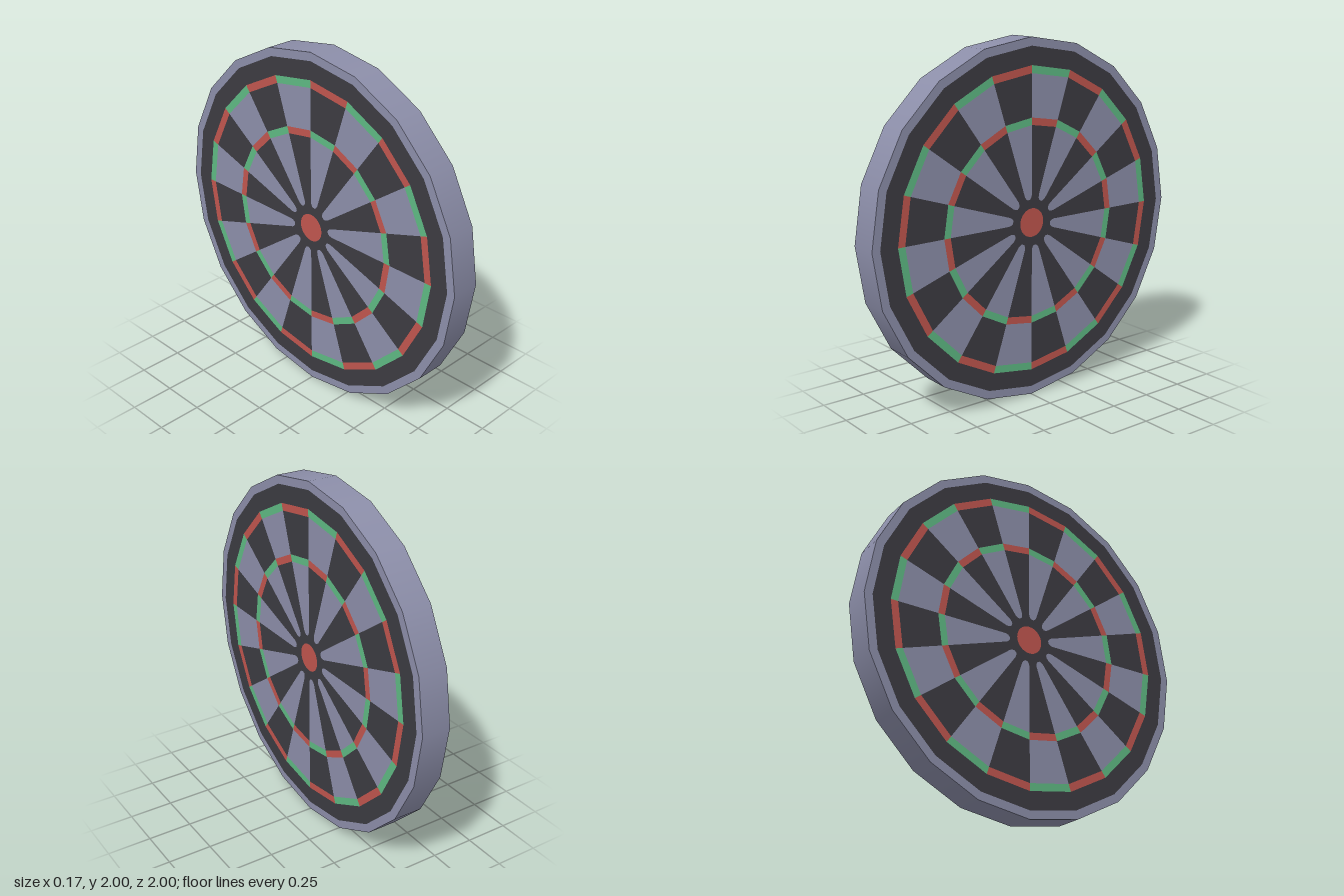
import * as THREE from 'three';

const SECTORS = 20;
const STEP = (Math.PI * 2) / SECTORS;
const HALF = 0.084; // half the thickness
const LIFT = 0.002; // painted details sit just above the board

const makeMaterial = (name, color) => {
  const m = new THREE.MeshStandardMaterial({ color });
  m.name = name;
  return m;
};

// point at radius r, angle clockwise from the top; dir mirrors the pattern
const polar = (r, a, dir) => new THREE.Vector2(dir * r * Math.sin(a), r * Math.cos(a));

// straight-edged piece of one sector between two radii
function sectorPiece(i, r0, r1, dir) {
  const a = i * STEP, b = a + STEP;
  return new THREE.Shape([polar(r0, a, dir), polar(r1, a, dir), polar(r1, b, dir), polar(r0, b, dir)]);
}

// long inner wedge with a rounded tip near the hub
function roundedWedge(i, r0, r1, dir) {
  const a = i * STEP, b = a + STEP, rs = r0 + 0.025;
  const rows = [[r1, 0], [rs, 0], [r0 + 0.01, 0.1], [r0, 0.3]];
  const left = rows.map(([r, t]) => polar(r, a + t * STEP, dir));
  const right = rows.map(([r, t]) => polar(r, b - t * STEP, dir)).reverse();
  return new THREE.Shape([...left, ...right]);
}

export function createModel() {
  const grey = makeMaterial('lavender grey', 0x8c8ea9);
  const dark = makeMaterial('charcoal', 0x3c3b41);
  const red = makeMaterial('red', 0xc0554e);
  const green = makeMaterial('green', 0x5eb983);

  const model = new THREE.Group();
  model.name = 'dartboard';

  const add = (parent, name, geometry, material) => {
    const mesh = new THREE.Mesh(geometry, material);
    mesh.name = name;
    parent.add(mesh);
    return mesh;
  };

  // outer band
  const band = new THREE.CylinderGeometry(1, 1, HALF * 2, SECTORS, 1, true);
  band.rotateZ(Math.PI / 2);
  add(model, 'outerBand', band, grey).position.y = 1;

  // the two playing faces mirror each other
  for (const dir of [1, -1]) {
    const face = new THREE.Group();
    face.name = dir > 0 ? 'leftFace' : 'rightFace';
    face.position.set(dir * HALF, 1, 0);
    face.rotation.y = dir * Math.PI / 2;
    model.add(face);

    add(face, 'rim', new THREE.RingGeometry(0.953, 1, SECTORS, 1), grey);
    add(face, 'board', new THREE.CircleGeometry(0.953, SECTORS), dark);

    // alternating fields and scoring rings
    const fields = [], redPieces = [], greenPieces = [];
    for (let i = 0; i < SECTORS; i++) {
      const even = i % 2 === 0;
      fields.push(even ? sectorPiece(i, 0.575, 0.81, dir) : roundedWedge(i, 0.13, 0.535, dir));
      (even ? greenPieces : redPieces).push(sectorPiece(i, 0.81, 0.852, dir));
      (even ? redPieces : greenPieces).push(sectorPiece(i, 0.535, 0.575, dir));
    }
    add(face, 'lightFields', new THREE.ShapeGeometry(fields), grey).position.z = LIFT;
    add(face, 'redScoringPieces', new THREE.ShapeGeometry(redPieces), red).position.z = LIFT;
    add(face, 'greenScoringPieces', new THREE.ShapeGeometry(greenPieces), green).position.z = LIFT;
    add(face, 'bullseye', new THREE.CircleGeometry(0.08, 32), red).position.z = LIFT;
  }
  return model;
}
